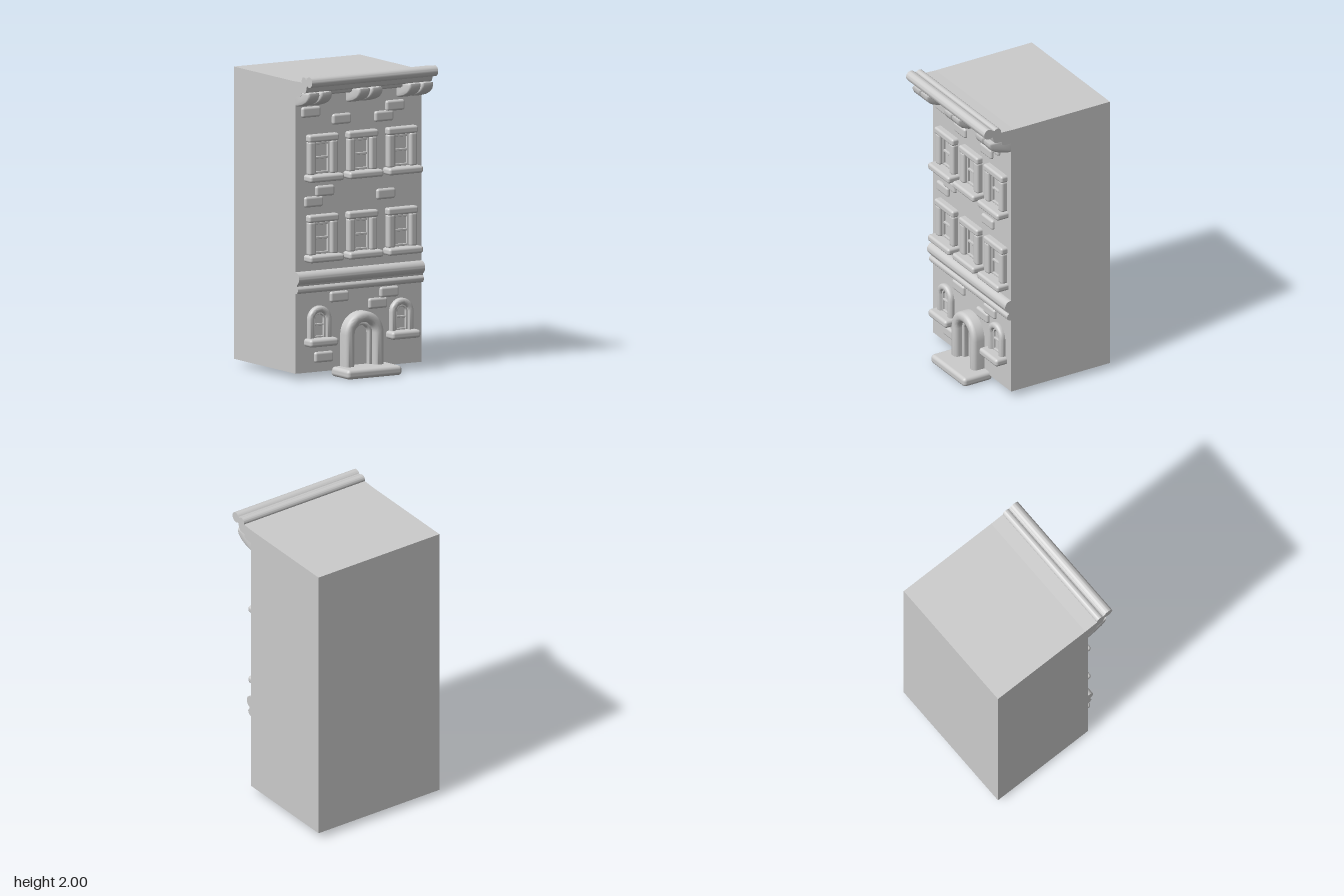
import * as THREE from 'three';
import { toCreasedNormals } from 'three/addons/utils/BufferGeometryUtils.js';
import { RoundedBoxGeometry } from 'three/addons/geometries/RoundedBoxGeometry.js';

const material = new THREE.MeshStandardMaterial({ color: 0xcccccc });
const WALL = 0.27; // z of the facade

function add(parent, name, geometry) {
  const mesh = new THREE.Mesh(geometry, material);
  mesh.name = name;
  parent.add(mesh);
  return mesh;
}

function group(parent, name, x = 0, y = 0) {
  const g = new THREE.Group();
  g.name = name;
  g.position.set(x, y, 0);
  parent.add(g);
  return g;
}

// Soft-edged block given by its limits
function block(parent, name, x0, x1, y0, y1, z0, z1, r) {
  const mesh = add(parent, name, new RoundedBoxGeometry(x1 - x0, y1 - y0, z1 - z0, 3, r));
  mesh.position.set((x0 + x1) / 2, (y0 + y1) / 2, (z0 + z1) / 2);
  return mesh;
}

// Half-circle of points from angle a to b
function arc(cx, cy, r, a, b, n = 20) {
  return Array.from({ length: n + 1 }, (_, i) => {
    const t = a + (b - a) * i / n;
    return new THREE.Vector2(cx + r * Math.cos(t), cy + r * Math.sin(t));
  });
}

// Upside-down U band with rounded front edges
function archBand(parent, name, R, r, springY, y0, z0, z1, bevel) {
  const shape = new THREE.Shape([
    new THREE.Vector2(-R, y0), ...arc(0, springY, R, Math.PI, 0),
    new THREE.Vector2(R, y0), new THREE.Vector2(r, y0),
    ...arc(0, springY, r, 0, Math.PI), new THREE.Vector2(-r, y0),
  ]);
  const geo = new THREE.ExtrudeGeometry(shape, {
    depth: z1 - z0 - 2 * bevel, bevelThickness: bevel, bevelSize: bevel,
    bevelOffset: -bevel, bevelSegments: 4,
  });
  geo.translate(0, 0, z0 + bevel);
  return add(parent, name, toCreasedNormals(geo, 0.7));
}

// Profile in (z, y) swept along x, centred on x = 0
function sweep(parent, name, points, width, bevel = 0) {
  const geo = new THREE.ExtrudeGeometry(new THREE.Shape(points), {
    depth: width - 2 * bevel, bevelEnabled: bevel > 0, bevelThickness: bevel,
    bevelSize: bevel, bevelOffset: -bevel, bevelSegments: 4,
  });
  geo.translate(0, 0, bevel - width / 2);
  geo.rotateY(-Math.PI / 2);
  return add(parent, name, toCreasedNormals(geo, 0.7));
}

const pts = (list) => list.map(([z, y]) => new THREE.Vector2(z, y));

function squareWindow(parent, x, y) {
  const w = group(parent, 'window', x, y);
  block(w, 'lintel', -0.115, 0.115, 0.257, 0.306, 0.25, 0.315, 0.015);
  block(w, 'sill', -0.13, 0.13, 0, 0.047, 0.25, 0.355, 0.017);
  for (const s of [-1, 1]) {
    block(w, 'jamb', s * 0.084 - 0.027, s * 0.084 + 0.027, 0.04, 0.265, 0.25, 0.31, 0.017);
    block(w, 'sashStile', s * 0.051 - 0.007, s * 0.051 + 0.007, 0.045, 0.26, 0.26, 0.285, 0.003);
  }
  for (const ry of [0.054, 0.152, 0.246])
    block(w, 'sashRail', -0.055, 0.055, ry - 0.008, ry + 0.008, 0.26, 0.283, 0.003);
}

function archedWindow(parent, x) {
  const w = group(parent, 'archedWindow', x);
  archBand(w, 'archSurround', 0.0875, 0.044, 0.385, 0.24, 0.25, 0.303, 0.018);
  archBand(w, 'archSash', 0.046, 0.032, 0.385, 0.25, 0.255, 0.285, 0.003);
  block(w, 'sashRail', -0.04, 0.04, 0.343, 0.357, 0.26, 0.283, 0.003);
  block(w, 'sashRail', -0.04, 0.04, 0.262, 0.276, 0.26, 0.283, 0.003);
  block(w, 'sill', -0.109, 0.109, 0.212, 0.265, 0.25, 0.353, 0.02);
}

export function createModel() {
  const model = new THREE.Group();
  model.name = 'townhouse';

  add(model, 'body', new THREE.BoxGeometry(0.96, 1.91, 0.75)).position.set(0, 0.995, -0.105);

  // Cornice: stepped cove below two rolls
  sweep(model, 'cornice', [
    ...pts([[0.25, 1.95], [0.25, 1.855], [0.32, 1.855], [0.34, 1.865], [0.345, 1.885],
      [0.38, 1.887], [0.397, 1.895], [0.403, 1.91], [0.411, 1.937]]),
    ...arc(0.44, 1.965, 0.035, -2.2, 2.6, 24),
    ...arc(0.374, 1.964, 0.027, 0.7, 3.5, 14),
  ], 0.96);

  // Paired corbels under the cornice
  const corbel = pts([[0.25, 1.785], [0.29, 1.787], [0.35, 1.803], [0.395, 1.822], [0.42, 1.845],
    [0.432, 1.87], [0.43, 1.89], [0.38, 1.89], [0.25, 1.89]]);
  for (const x of [-0.436, -0.339, -0.05, 0.047, 0.335, 0.432])
    sweep(model, 'corbel', corbel, 0.087, 0.014).position.x = x;

  // Belt course between ground floor and upper floors
  sweep(model, 'beltCourse', [
    ...pts([[0.25, 0.703], [0.25, 0.56]]),
    ...arc(0.275, 0.587, 0.026, -Math.PI / 2, 1.1, 10),
    ...arc(0.274, 0.662, 0.042, -1.2, Math.PI / 2, 14),
  ], 0.96);

  // Upper windows
  for (const y of [0.764, 1.289])
    for (const x of [-0.285, 0.015, 0.317]) squareWindow(model, x, y);

  // Ground floor windows and doorway
  for (const x of [-0.305, 0.32]) archedWindow(model, x);
  const door = group(model, 'doorway', 0.007);
  archBand(door, 'doorSurround', 0.146, 0.077, 0.27, 0.03, 0.18, 0.352, 0.028);
  archBand(door, 'doorFrame', 0.08, 0.053, 0.27, 0.042, 0.25, 0.305, 0.008);
  block(model, 'doorstep', -0.2, 0.217, 0, 0.063, 0.245, 0.465, 0.024);

  // Scattered raised bricks
  const bricks = [[-0.366, 1.743], [-0.132, 1.68], [0.19, 1.672], [0.275, 1.735], [-0.26, 1.22],
    [-0.345, 1.155], [0.205, 1.163], [-0.15, 0.52], [0.23, 0.52], [0.143, 0.453], [-0.268, 0.135]];
  for (const [x, y] of bricks)
    block(model, 'brick', x - 0.071, x + 0.071, y - 0.035, y + 0.035, WALL - 0.03, WALL + 0.02, 0.016);

  return model;
}
